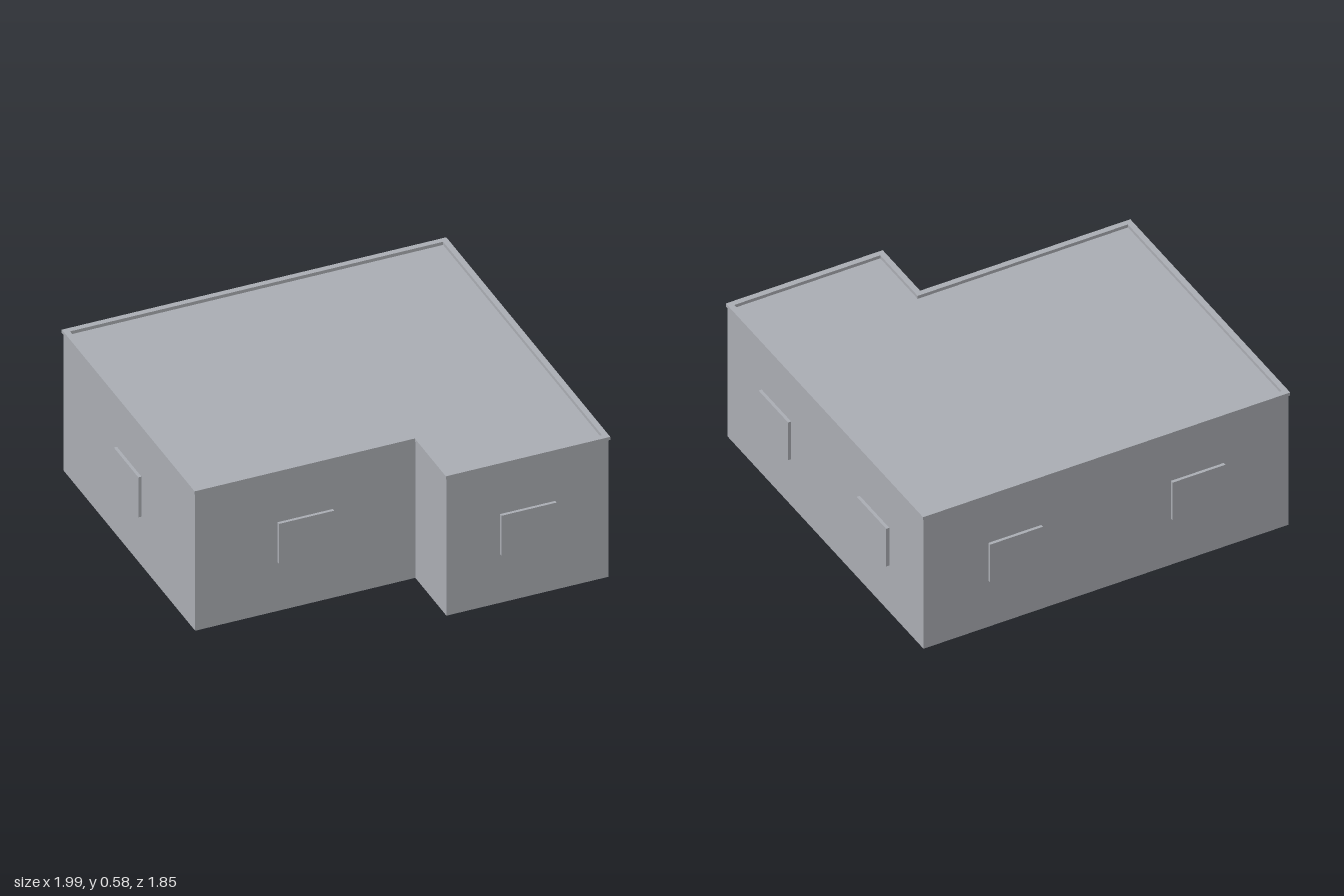
import * as THREE from 'three';

// Footprint in the building's own axes, walked counter-clockwise (outer edge of roof rim)
const W = 1.403, D = 1.462, WING = 1.137, STEP = 0.837;
const OUTLINE = [[0, 0], [WING, 0], [WING, STEP], [W, STEP], [W, D], [0, D]];
const WINDOWS_PER_WALL = [1, 1, 0, 1, 2, 2];
const ANGLE = THREE.MathUtils.degToRad(35);
const ROOF_Y = 0.566, TOP_Y = 0.579;
const OVERHANG = 0.004, RIM_WIDTH = 0.022;

// Shrink the right-angled outline inward by d
function inset(points, d) {
  const n = points.length;
  return points.map((p, i) => {
    const a = points[(i + n - 1) % n], b = points[(i + 1) % n];
    const v = new THREE.Vector2();
    for (const [s, e] of [[a, p], [p, b]]) {
      v.x -= Math.sign(e[1] - s[1]) * d;
      v.y += Math.sign(e[0] - s[0]) * d;
    }
    return [p[0] + v.x, p[1] + v.y];
  });
}

const toVectors = (points) => points.map(([x, y]) => new THREE.Vector2(x, y));

// Upright slab between two heights, with an optional opening
function slab(name, points, y0, y1, material, hole) {
  const shape = new THREE.Shape(toVectors(points));
  if (hole) shape.holes.push(new THREE.Path(toVectors(hole)));
  const geometry = new THREE.ExtrudeGeometry(shape, { depth: y1 - y0, bevelEnabled: false });
  geometry.rotateX(-Math.PI / 2).translate(0, y0, 0);
  const mesh = new THREE.Mesh(geometry, material);
  mesh.name = name;
  return mesh;
}

export function createModel() {
  const grey = new THREE.MeshStandardMaterial({ color: 0xaaadb3 });
  grey.name = 'concrete grey';

  const building = new THREE.Group();
  building.name = 'building';
  const wallLine = inset(OUTLINE, OVERHANG);

  // Body with flat roof, and the raised rim around it
  building.add(slab('walls', wallLine, 0, ROOF_Y, grey));
  building.add(slab('roofRim', OUTLINE, ROOF_Y, TOP_Y, grey, inset(OUTLINE, RIM_WIDTH)));

  // Window panels standing slightly proud, evenly spaced on each wall
  const proud = 0.012;
  const panel = new THREE.BoxGeometry(0.21, 0.165, proud);
  wallLine.forEach((start, i) => {
    const end = wallLine[(i + 1) % wallLine.length];
    const count = WINDOWS_PER_WALL[i];
    const heading = Math.atan2(end[1] - start[1], end[0] - start[0]);
    for (let k = 0; k < count; k++) {
      const t = (k + 0.5) / count;
      const x = THREE.MathUtils.lerp(start[0], end[0], t);
      const y = THREE.MathUtils.lerp(start[1], end[1], t);
      const window = new THREE.Mesh(panel, grey);
      window.name = 'window';
      window.position.set(x, 0.284, -y);
      window.rotation.y = heading;
      window.translateZ(proud / 2);
      building.add(window);
    }
  });

  // Turn the building and centre its bounds on the origin
  const c = Math.cos(ANGLE), s = Math.sin(ANGLE);
  building.rotation.y = -ANGLE;
  building.position.set(-(W * c + D * s) / 2, 0, -(WING * s - D * c) / 2);

  const model = new THREE.Group();
  model.name = 'flatRoofBuilding';
  model.add(building);
  return model;
}
